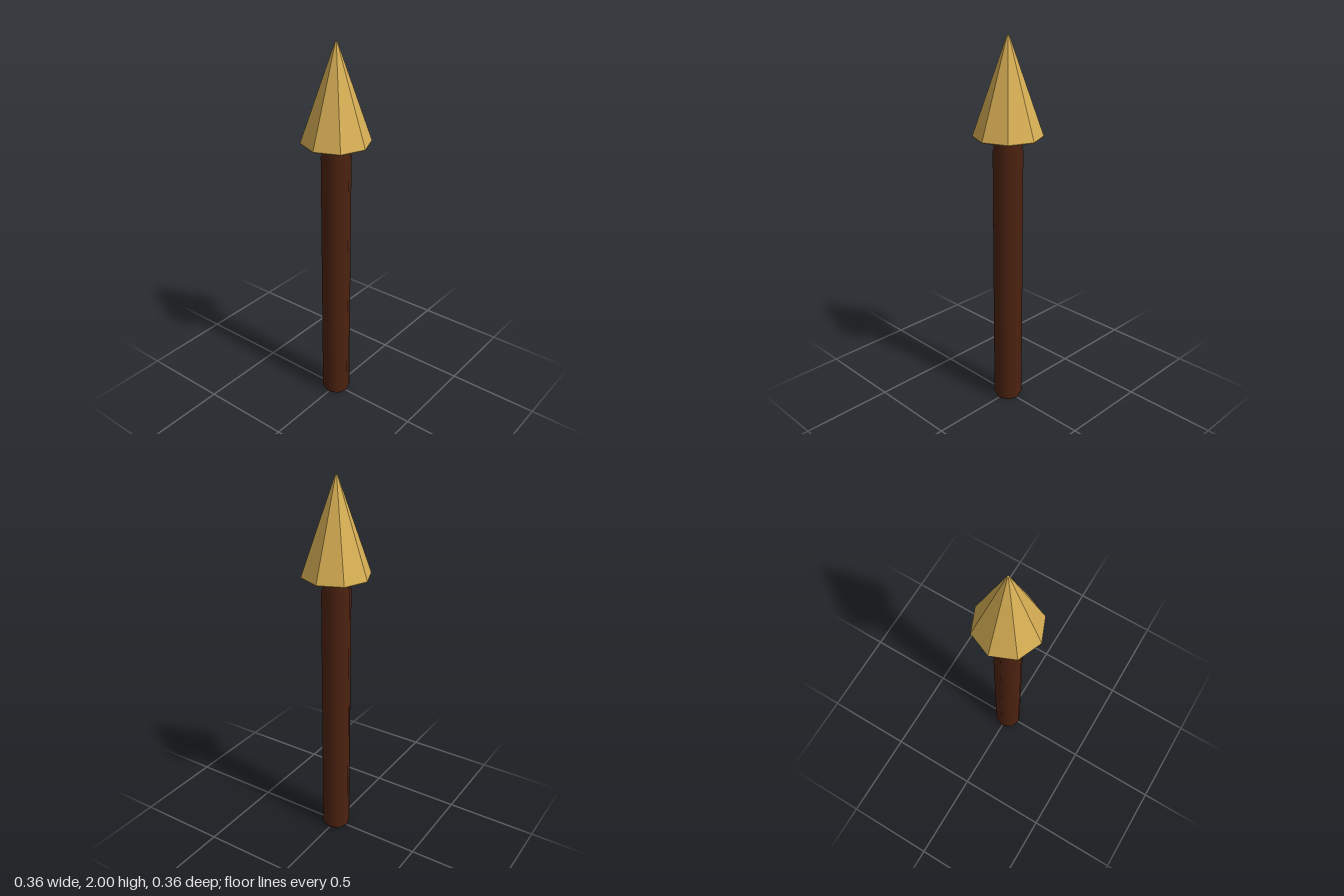
import * as THREE from 'three';

// Eight-sided turned part from [radius, height] points, corners on the axes
const turned = (points) =>
  new THREE.LatheGeometry(points.map(([r, y]) => new THREE.Vector2(r, y)), 8);

function faceted(geometry) {
  const flat = geometry.toNonIndexed();
  flat.computeVertexNormals();
  return flat;
}

export function createModel() {
  const wood = new THREE.MeshStandardMaterial({ color: 0x4c2210 });
  wood.name = 'dark wood';
  const gold = new THREE.MeshStandardMaterial({ color: 0xd6ae54 });
  gold.name = 'gold';

  const model = new THREE.Group();
  model.name = 'spikedPost';
  const add = (name, geometry, material) => {
    const mesh = new THREE.Mesh(geometry, material);
    mesh.name = name;
    model.add(mesh);
  };

  // Shaft with a small bevel at the foot and a slight neck under the tip
  add('shaft', turned([
    [0.07, 0], [0.077, 0.013], [0.077, 1.435], [0.073, 1.44], [0.073, 1.515],
  ]), wood);
  const foot = new THREE.CircleGeometry(0.07, 8);
  foot.rotateX(Math.PI / 2);
  add('shaftFoot', foot, wood);

  // Faceted spearhead with a tiny blunt tip and closed underside
  add('spearhead', faceted(turned([
    [0, 1.506], [0.175, 1.506], [0.178, 1.511], [0.008, 1.994], [0.005, 2], [0, 2],
  ])), gold);

  return model;
}
